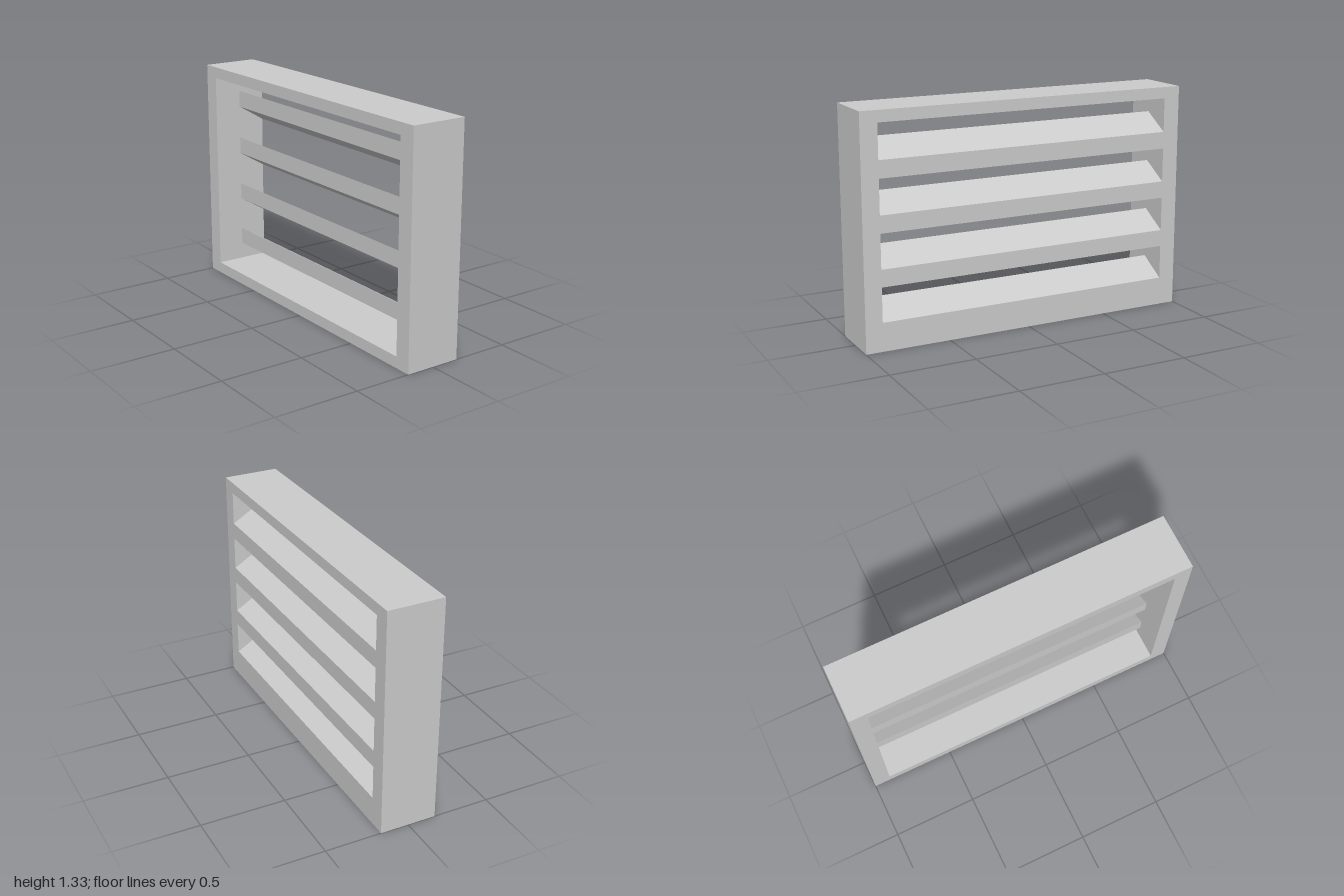
import * as THREE from 'three';

const W = 2, H = 4 / 3, D = 1 / 3;   // outer size
const SIDE = 0.1, RAIL = 1 / 15;     // frame thickness: sides, top and bottom
const SLATS = 4, PITCH = 0.3, SLAT = 0.1;

const polygon = (points) => new THREE.Shape(points.map(([x, y]) => new THREE.Vector2(x, y)));
const rect = (x, y0, y1) => polygon([[-x, y0], [x, y0], [x, y1], [-x, y1]]);

export function createModel() {
  const model = new THREE.Group();
  model.name = 'louverVent';
  const material = new THREE.MeshStandardMaterial({ color: 0xcccccc, flatShading: true });

  // Rectangular frame around one opening
  const outline = rect(W / 2, 0, H);
  outline.holes.push(rect(W / 2 - SIDE, RAIL, H - RAIL));
  const frameGeometry = new THREE.ExtrudeGeometry(outline, { depth: D, bevelEnabled: false });
  frameGeometry.translate(0, 0, -D / 2);
  const frame = new THREE.Mesh(frameGeometry, material);
  frame.name = 'frame';
  model.add(frame);

  // Slanted slat: high at mid depth, falling to the back face of the frame
  const length = W - 2 * SIDE;
  const section = polygon([[0, SLAT], [D / 2, 0], [D / 2, SLAT], [0, 2 * SLAT]]);
  const slatGeometry = new THREE.ExtrudeGeometry(section, { depth: length, bevelEnabled: false });
  slatGeometry.translate(0, 0, -length / 2);
  slatGeometry.rotateY(Math.PI / 2); // section x now points to the back

  for (let i = 0; i < SLATS; i++) {
    const slat = new THREE.Mesh(slatGeometry, material);
    slat.name = `slat${i + 1}`;
    slat.position.y = RAIL + i * PITCH;
    model.add(slat);
  }
  return model;
}
